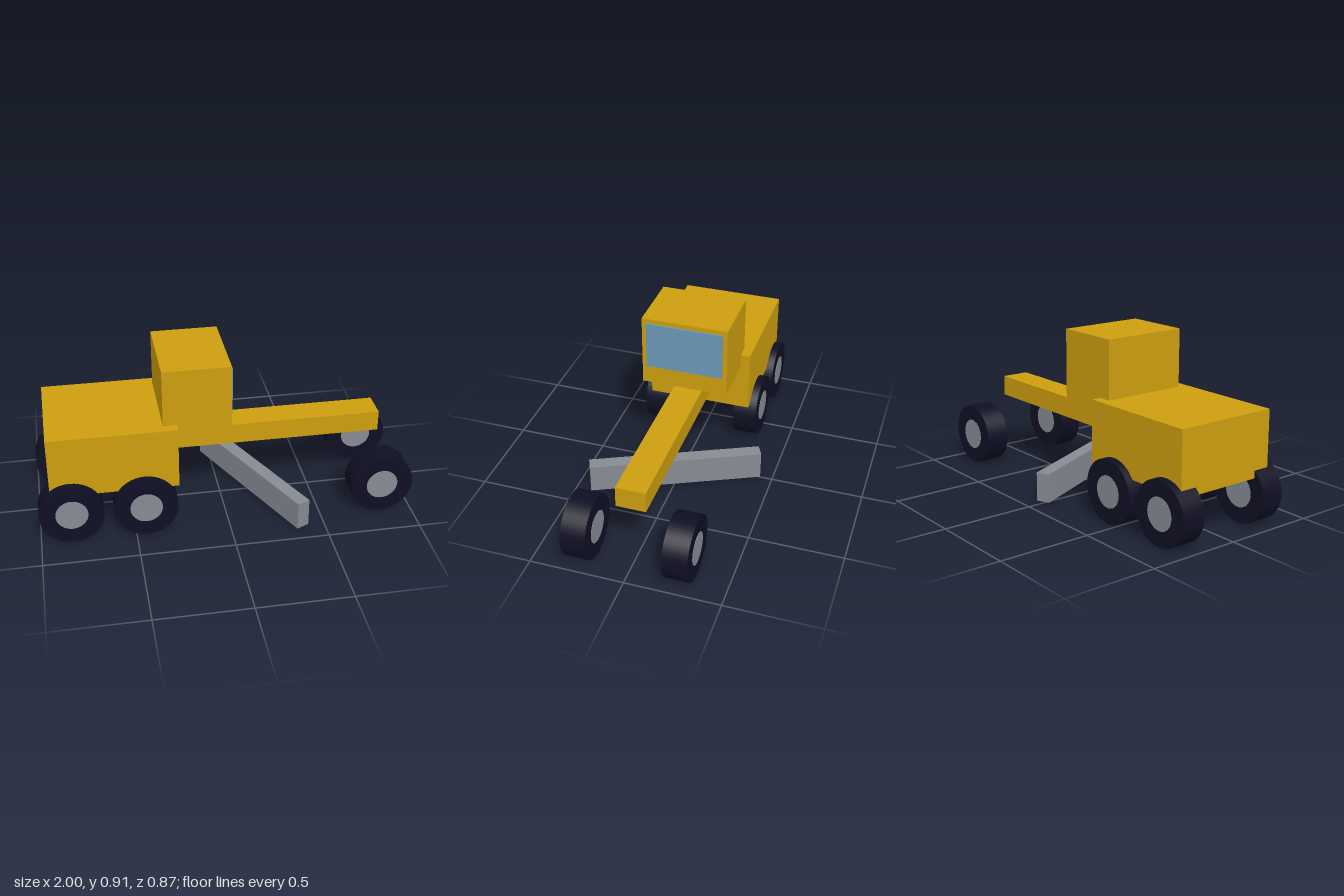
import * as THREE from 'three';

const mat = (name, color) => {
  const m = new THREE.MeshStandardMaterial({ color });
  m.name = name;
  return m;
};

export function createModel() {
  const yellow = mat('machineYellow', 0xcc9e0e);
  const steel = mat('steelGrey', 0x868a92);
  const rubber = mat('tyreRubber', 0x0f0f24);
  const glass = mat('windowGlass', 0x6a9ab7);

  const model = new THREE.Group();
  model.name = 'roadGrader';

  // Box given by its lower and upper corners, symmetric in z
  const box = (name, material, x0, x1, y0, y1, halfZ) => {
    const mesh = new THREE.Mesh(new THREE.BoxGeometry(x1 - x0, y1 - y0, 2 * halfZ), material);
    mesh.name = name;
    mesh.position.set((x0 + x1) / 2, (y0 + y1) / 2, 0);
    model.add(mesh);
    return mesh;
  };

  box('engineHousing', yellow, -0.935, -0.263, 0.262, 0.6, 0.285);
  box('cab', yellow, -0.335, 0.022, 0.522, 0.91, 0.233);
  box('windshield', glass, 0.022, 0.031, 0.626, 0.884, 0.208);
  box('frontBeam', yellow, -0.3, 0.865, 0.362, 0.475, 0.078);

  // Angled grading blade under the beam
  const blade = box('blade', steel, 0.143, 0.216, 0.015, 0.171, 0.465);
  blade.rotation.y = THREE.MathUtils.degToRad(25);

  // Wheels: a tyre with a hub standing slightly proud on both sides
  const tyreGeo = new THREE.CylinderGeometry(0.169, 0.169, 0.13, 40).rotateX(Math.PI / 2);
  const hubGeo = new THREE.CylinderGeometry(0.085, 0.085, 0.134, 32).rotateX(Math.PI / 2);
  for (const x of [-0.831, -0.443, 0.831]) {
    for (const side of [-1, 1]) {
      const wheel = new THREE.Group();
      wheel.name = (x > 0 ? 'front' : 'rear') + 'Wheel';
      const tyre = new THREE.Mesh(tyreGeo, rubber);
      tyre.name = 'tyre';
      const hub = new THREE.Mesh(hubGeo, steel);
      hub.name = 'hub';
      wheel.add(tyre, hub);
      wheel.position.set(x, 0.169, side * 0.261);
      model.add(wheel);
    }
  }
  return model;
}
